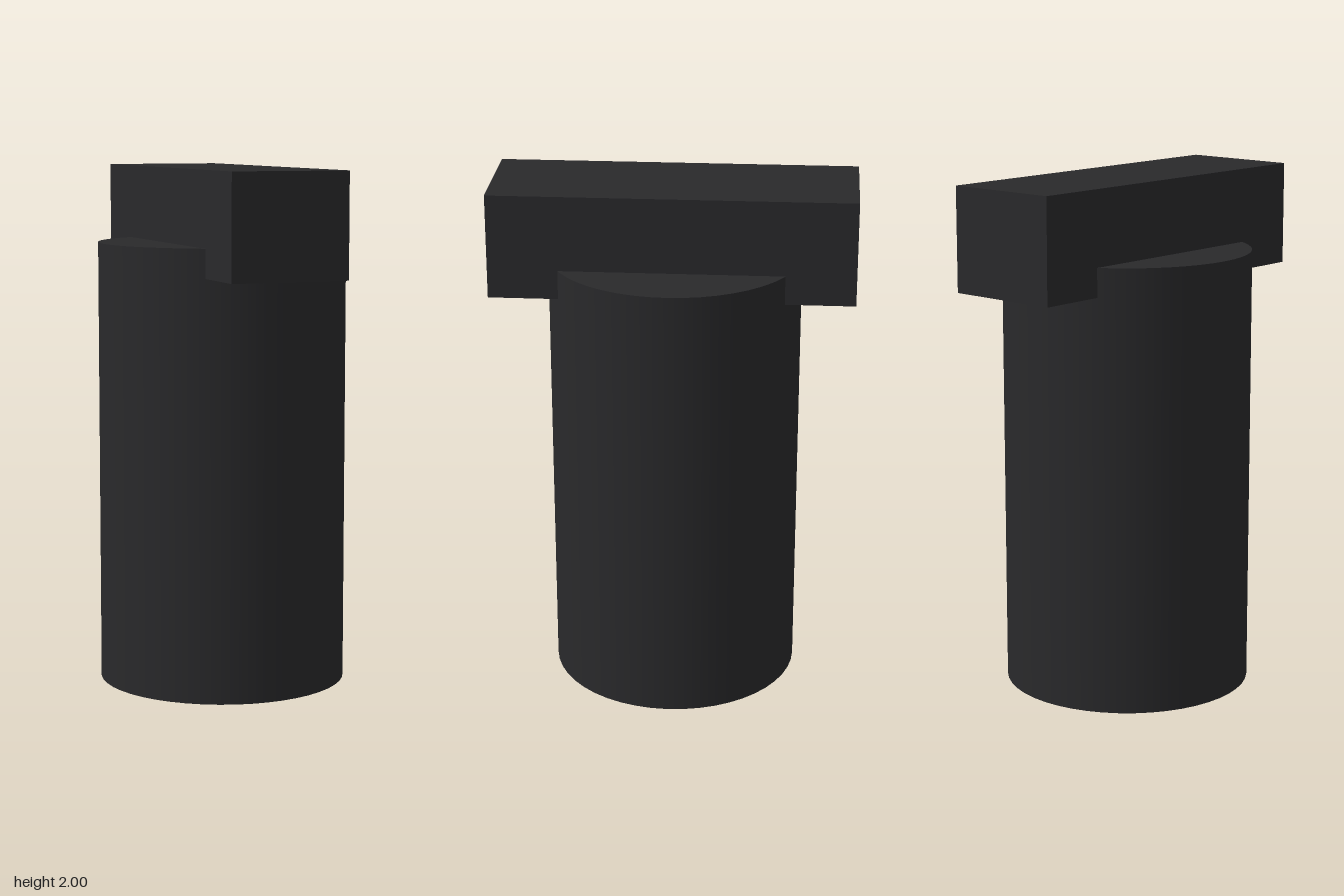
import * as THREE from 'three';

export function createModel() {
  const group = new THREE.Group();
  const dark = new THREE.MeshStandardMaterial({ color: 0x29292b });
  const pale = new THREE.MeshStandardMaterial({ color: 0xcccccc });

  const add = (name, geometry, material, y) => {
    const mesh = new THREE.Mesh(geometry, material);
    mesh.name = name;
    mesh.position.y = y;
    group.add(mesh);
    return mesh;
  };

  // Cylindrical housing, its lower rim just above the lens
  const bottom = 0.008, top = 1.715;
  add('housing', new THREE.CylinderGeometry(0.478, 0.478, top - bottom, 48), dark, (top + bottom) / 2);

  // Mounting bar across the top, overlapping the housing
  add('mountingBar', new THREE.BoxGeometry(0.454, 0.395, 1.364), dark, 1.8025);

  // Thin lens facing down
  const lens = add('lens', new THREE.CircleGeometry(0.411, 48), pale, 0);
  lens.rotation.x = Math.PI / 2;

  return group;
}
